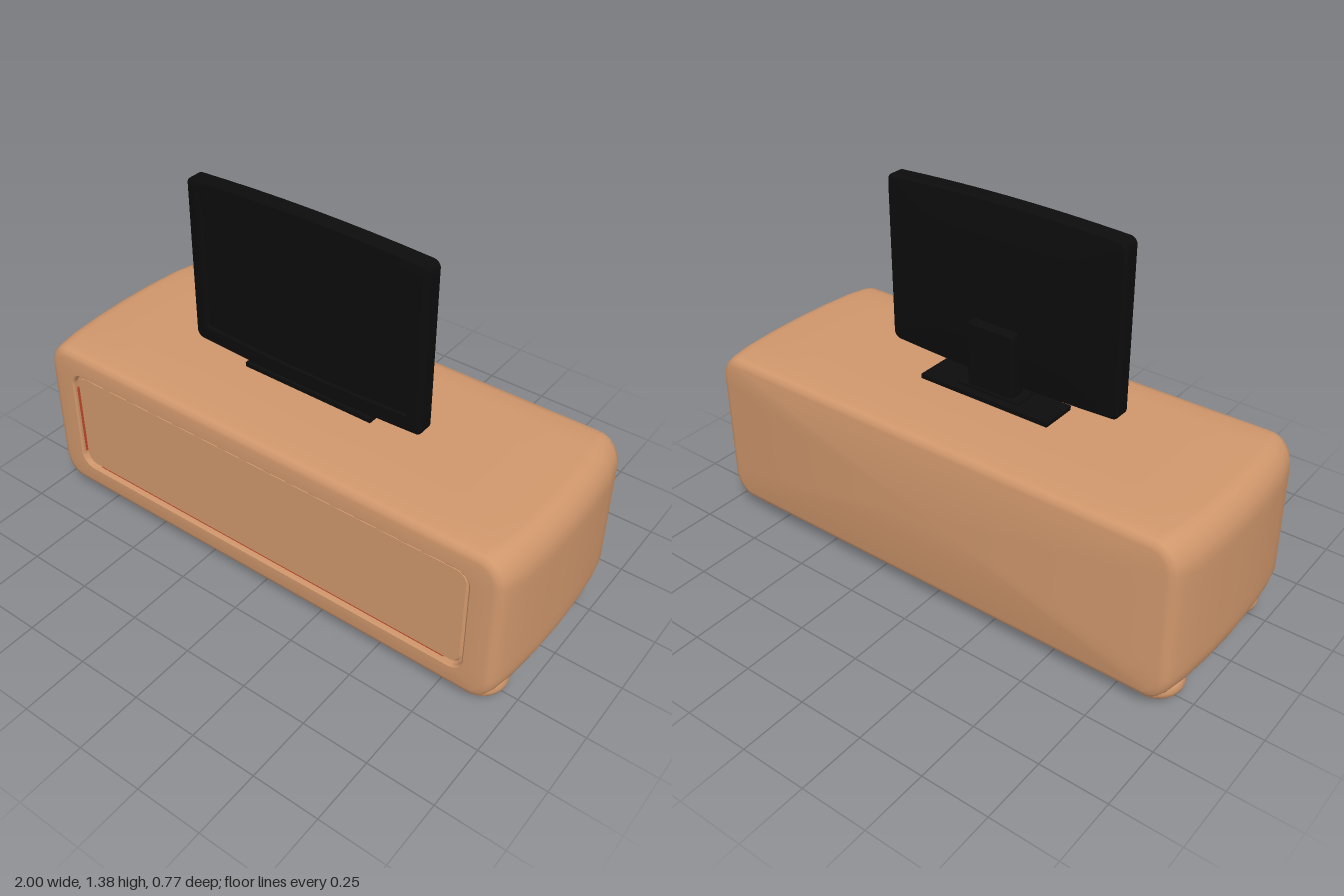
import * as THREE from 'three';
import { toCreasedNormals } from 'three/addons/utils/BufferGeometryUtils.js';

const paint = (name, color) => {
  const m = new THREE.MeshStandardMaterial({ color });
  m.name = name;
  return m;
};

// Rounded rectangle, counter-clockwise seen from +z; bow arches the long edges
function outline(hw, hh, rx, ry, bow) {
  const corners = [[1, 1], [-1, 1], [-1, -1], [1, -1]];
  const pts = [];
  corners.forEach(([sx, sy], c) => {
    for (let i = 0; i <= 8; i++) {
      const a = (c + i / 8) * Math.PI / 2;
      pts.push([sx * (hw - rx) + rx * Math.cos(a), sy * (hh - ry) + ry * Math.sin(a)]);
    }
    // points along the straight edge to the next corner
    const [nx, ny] = corners[(c + 1) % 4];
    const b = (c + 1) * Math.PI / 2;
    const s = pts[pts.length - 1];
    const e = [nx * (hw - rx) + rx * Math.cos(b), ny * (hh - ry) + ry * Math.sin(b)];
    for (let i = 1; i < 8; i++) {
      const t = i / 8;
      pts.push([s[0] + (e[0] - s[0]) * t, s[1] + (e[1] - s[1]) * t]);
    }
  });
  return pts.map(([x, y]) => [x, hw && hh ? y - bow * (y / hh) * (x / hw) ** 2 : y]);
}

// Skin over sections [z, halfWidth, halfHeight, rx, ry], front to back
function loft(sections, bow = 0, crease = 0.6) {
  const pos = [], index = [];
  let n = 0;
  for (const [z, hw, hh, rx = 0, ry = rx] of sections) {
    const ring = outline(hw, hh, rx, ry, bow);
    n = ring.length;
    for (const [x, y] of ring) pos.push(x, y, z);
  }
  for (let s = 0; s < sections.length - 1; s++) {
    for (let i = 0; i < n; i++) {
      const a = s * n + i, b = s * n + (i + 1) % n;
      if (sections[s][1] > 0) index.push(a, a + n, b);
      if (sections[s + 1][1] > 0) index.push(b, a + n, b + n);
    }
  }
  const g = new THREE.BufferGeometry();
  g.setAttribute('position', new THREE.Float32BufferAttribute(pos, 3));
  g.setIndex(index);
  return toCreasedNormals(g, crease);
}

export function createModel() {
  const model = new THREE.Group();
  const wood = paint('tan wood', 0xd0976c);
  const black = paint('black plastic', 0x0c0c0c);
  const red = paint('red seam', 0xc4492c);

  const add = (name, geometry, material, x, y, z, parent = model) => {
    const mesh = new THREE.Mesh(geometry, material);
    mesh.name = name;
    mesh.position.set(x, y, z);
    parent.add(mesh);
    return mesh;
  };
  const box = (w, h, d) => new THREE.BoxGeometry(w, h, d);

  // Cabinet: pillow-shaped body with a grooved, slightly sunk front panel
  const half = [
    [0.385, 0.93, 0.275, 0.06, 0.08],
    [0.381, 0.947, 0.29, 0.07, 0.09],
    [0.37, 0.959, 0.302, 0.08, 0.1],
    [0.345, 0.97, 0.308, 0.09, 0.11],
    [0.27, 0.985, 0.31, 0.09, 0.12],
    [0.14, 0.996, 0.31, 0.09, 0.12],
  ];
  const back = half.map(([z, ...rest]) => [-z, ...rest]).reverse();
  add('cabinet', loft([
    [0.372, 0, 0],
    [0.372, 0.834, 0.199, 0.04],
    [0.362, 0.84, 0.204, 0.04],
    [0.362, 0.85, 0.211, 0.05],
    [0.38, 0.85, 0.211, 0.05],
    [0.385, 0.856, 0.217, 0.055],
    ...half,
    [0, 1, 0.31, 0.09, 0.12],
    ...back,
    [-0.385, 0, 0],
  ]), wood, 0, 0.37, 0);

  // Seam along the bottom and one side of the panel
  add('seamBottom', box(1.55, 0.005, 0.006), red, 0, 0.162, 0.364);
  add('seamSide', box(0.004, 0.3, 0.008), red, -0.848, 0.36, 0.367);

  // Bun feet with dark pads
  const footProfile = [[0.056, 0.004], [0.075, 0.012], [0.089, 0.028], [0.095, 0.047],
    [0.089, 0.067], [0.07, 0.085], [0, 0.095]].map(p => new THREE.Vector2(...p));
  const footShape = new THREE.LatheGeometry(footProfile, 28);
  const padShape = new THREE.CylinderGeometry(0.057, 0.057, 0.006, 28);
  for (const x of [-0.86, 0.86]) {
    for (const z of [-0.247, 0.255]) {
      const foot = new THREE.Group();
      foot.name = 'foot';
      foot.position.set(x, 0, z);
      add('footBall', footShape, wood, 0, 0, 0, foot);
      add('footPad', padShape, black, 0, 0.003, 0, foot);
      model.add(foot);
    }
  }

  // Television: arched top and bottom, inset screen, back tapering to the middle
  const tv = new THREE.Group();
  tv.name = 'television';
  tv.position.set(-0.014, 0, 0);
  model.add(tv);
  add('screenHousing', loft([
    [0.076, 0, 0],
    [0.076, 0.425, 0.268, 0.01],
    [0.084, 0.43, 0.273, 0.01],
    [0.084, 0.472, 0.322, 0.02],
    [0.078, 0.481, 0.33, 0.025],
    [0.03, 0.481, 0.33, 0.025],
    [0.019, 0.472, 0.322, 0.025],
    [0.01, 0.39, 0.27, 0.025],
    [0.003, 0.25, 0.19, 0.025],
    [0, 0, 0],
  ], 0.014), black, 0, 1.05, 0, tv);

  // Stand: neck behind the housing on a stepped foot plate
  add('neck', loft([
    [0.03, 0, 0],
    [0.03, 0.095, 0.132, 0.008],
    [-0.029, 0.095, 0.132, 0.008],
    [-0.035, 0.089, 0.126, 0.008],
    [-0.035, 0, 0],
  ]), black, 0, 0.812, 0, tv);
  add('standPlate', box(0.54, 0.018, 0.142), black, 0, 0.688, -0.004, tv);
  add('standCollar', box(0.26, 0.01, 0.09), black, 0, 0.7, 0, tv);

  return model;
}
